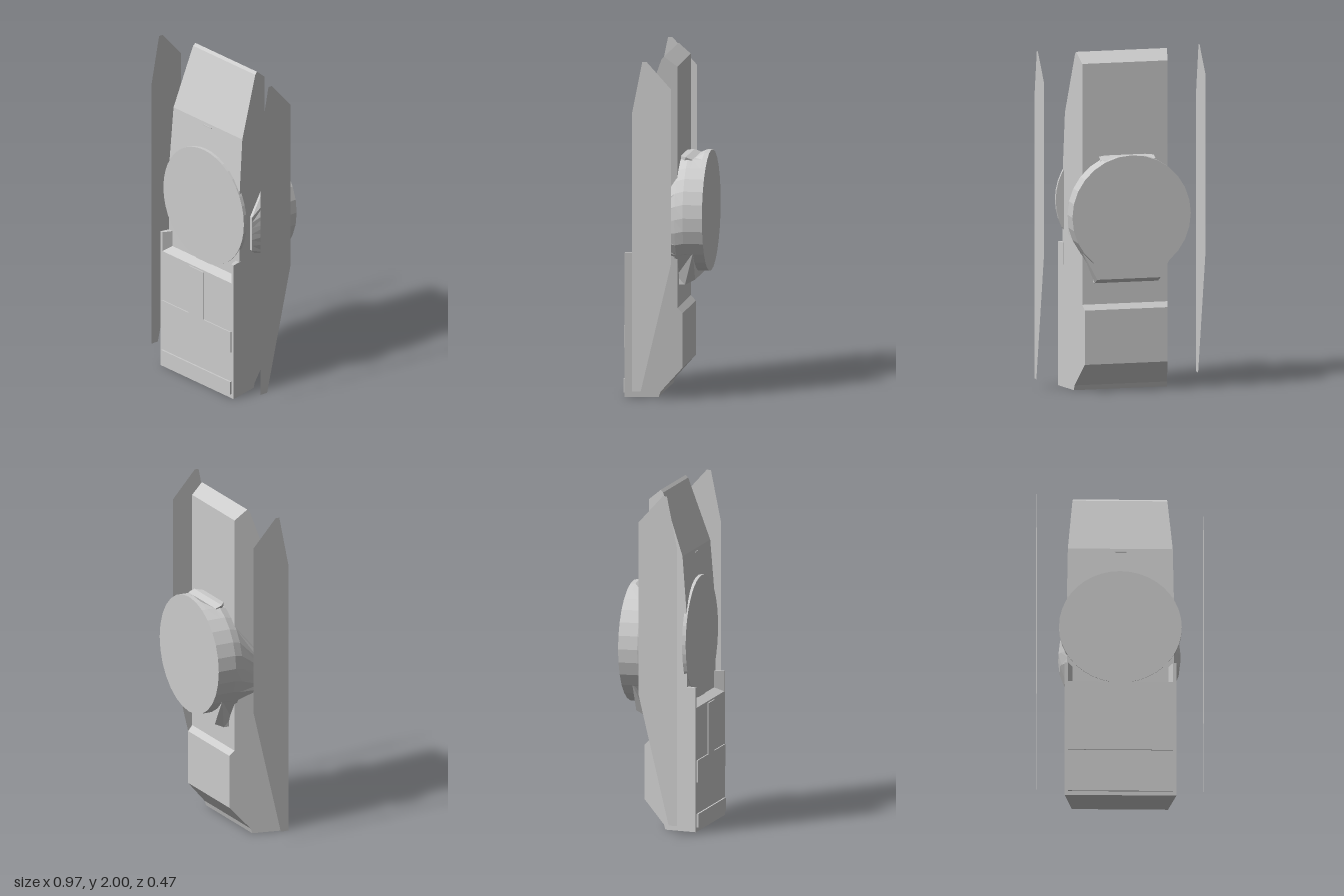
import * as THREE from 'three';

const material = new THREE.MeshStandardMaterial({ color: 0xcccccc, flatShading: true });
const thinMaterial = new THREE.MeshStandardMaterial({ color: 0xcccccc, flatShading: true, side: THREE.DoubleSide });

const shapeOf = (pts) => new THREE.Shape(pts.map(([a, b]) => new THREE.Vector2(a, b)));

// Half width of the hull: the sides lean outwards towards the front
const halfWidth = (z) => 0.255 + (z + 0.075) * 0.233;

function reshape(geometry, rule) {
  const p = geometry.attributes.position;
  for (let i = 0; i < p.count; i++) p.setXYZ(i, ...rule(p.getX(i), p.getY(i), p.getZ(i)));
  geometry.computeVertexNormals();
  return geometry;
}

// Side profile of (z, y) points extruded across x from -0.5 to 0.5
function sideExtrude(pts) {
  const g = new THREE.ExtrudeGeometry(shapeOf(pts), { depth: 1, bevelEnabled: false });
  return g.rotateY(-Math.PI / 2).translate(0.5, 0, 0);
}

// Closed loft through rings of equal length, ordered from back to front
function loft(rings) {
  const n = rings[0].length, pos = rings.flat(2), index = [];
  for (let r = 0; r < rings.length - 1; r++) {
    for (let i = 0; i < n; i++) {
      const a = r * n + i, b = r * n + (i + 1) % n;
      index.push(a, b, b + n, a, b + n, a + n);
    }
  }
  const last = (rings.length - 1) * n;
  for (let i = 1; i < n - 1; i++) index.push(0, i + 1, i, last, last + i, last + i + 1);
  const g = new THREE.BufferGeometry();
  g.setAttribute('position', new THREE.Float32BufferAttribute(pos, 3));
  g.setIndex(index);
  const flat = g.toNonIndexed();
  flat.computeVertexNormals();
  return flat;
}

export function createModel() {
  const model = new THREE.Group();
  const add = (name, geometry, mat = material) => {
    const mesh = new THREE.Mesh(geometry, mat);
    mesh.name = name;
    model.add(mesh);
    return mesh;
  };

  // Hull with stepped front, sloping top and rear box
  const hull = sideExtrude([
    [0.225, 0], [0.225, 0.73], [0.17, 0.755], [0.165, 1.3], [0.14, 1.62], [0.015, 1.985], [0, 2],
    [-0.075, 1.94], [-0.075, 0.52], [-0.105, 0.49], [-0.105, 0.17], [0.02, 0.03], [0.03, 0],
  ]);
  add('hull', reshape(hull, (x, y, z) => [x * 2 * halfWidth(z), y, z]));

  // Corner posts beside the front ledge
  for (const s of [-1, 1]) {
    const outline = shapeOf([[s * 0.31, -0.16], [s * 0.325, -0.225], [s * 0.305, -0.225], [s * 0.275, -0.16]]);
    const post = new THREE.ExtrudeGeometry(outline, { depth: 0.13, bevelEnabled: false });
    add(s > 0 ? 'leftPost' : 'rightPost', post.rotateX(-Math.PI / 2).translate(0, 0.72, 0));
  }

  // Raised panels low on the front
  add('lowerStrip', new THREE.BoxGeometry(0.61, 0.08, 0.015).translate(0, 0.065, 0.2275));
  const tee = shapeOf([
    [-0.305, 0.29], [0.305, 0.29], [0.305, 0.42], [0.065, 0.42],
    [0.065, 0.72], [-0.065, 0.72], [-0.065, 0.42], [-0.305, 0.42],
  ]);
  add('teePanel', new THREE.ExtrudeGeometry(tee, { depth: 0.012, bevelEnabled: false }).translate(0, 0, 0.22));

  // Small slot below the sloping top
  add('slot', new THREE.BoxGeometry(0.07, 0.006, 0.01).translate(0, 1.6, 0.14));

  // Thin round plate on the front
  add('frontDisc', new THREE.CylinderGeometry(0.357, 0.357, 0.022, 40)
    .rotateX(Math.PI / 2).translate(0, 1.105, 0.162));

  // Rear drum narrowing forwards into side cheeks
  // Ring: z, x radius, y radius, centre y, lowest y, highest y, widest x
  const rings = [
    [-0.235, 0.355, 0.354, 1.063, 0.7, 1.42, 0.36],
    [-0.205, 0.355, 0.354, 1.063, 0.7, 1.42, 0.36],
    [-0.15, 0.355, 0.354, 1.063, 0.71, 1.38, 0.36],
    [-0.12, 0.355, 0.354, 1.063, 0.71, 1.39, 0.36],
    [-0.07, 0.345, 0.35, 1.05, 0.71, 1.39, 0.342],
    [0.065, 0.42, 0.17, 0.995, 0.89, 1.1, 0.305],
  ].map(([z, rx, ry, cy, lo, hi, wide]) => Array.from({ length: 28 }, (_, i) => {
    const a = i / 28 * Math.PI * 2;
    return [
      THREE.MathUtils.clamp(rx * Math.cos(a), -wide, wide),
      THREE.MathUtils.clamp(cy + ry * Math.sin(a), lo, hi), z,
    ];
  }));
  add('rearDrum', loft(rings));

  // Bridge on top of the drum, flaring towards the rear
  const bridge = sideExtrude([[-0.07, 1.3], [-0.07, 1.395], [-0.11, 1.395], [-0.15, 1.38], [-0.15, 1.3]]);
  add('bridge', reshape(bridge, (x, y, z) => [x * 2 * (z < -0.1 ? 0.165 : 0.115), y, z]));

  // Chin under the drum
  const chin = sideExtrude([[-0.06, 0.85], [-0.06, 0.7], [-0.075, 0.65], [-0.11, 0.65], [-0.17, 0.68], [-0.17, 0.85]]);
  add('chin', reshape(chin, (x, y, z) => [x * 2 * (y > 0.8 ? 0.28 : 0.19), y, z]));

  // Flat side fins standing clear of the hull
  const fin = shapeOf([
    [0.105, 0.06], [0.155, 0.06], [0.155, 1.7], [0.095, 2], [0.07, 2], [-0.075, 1.84], [-0.075, 0.82],
  ]);
  for (const s of [-1, 1]) {
    const g = new THREE.ShapeGeometry(fin).rotateY(-Math.PI / 2).translate(s * 0.485, 0, 0);
    add(s > 0 ? 'leftFin' : 'rightFin', g, thinMaterial);
  }
  return model;
}
